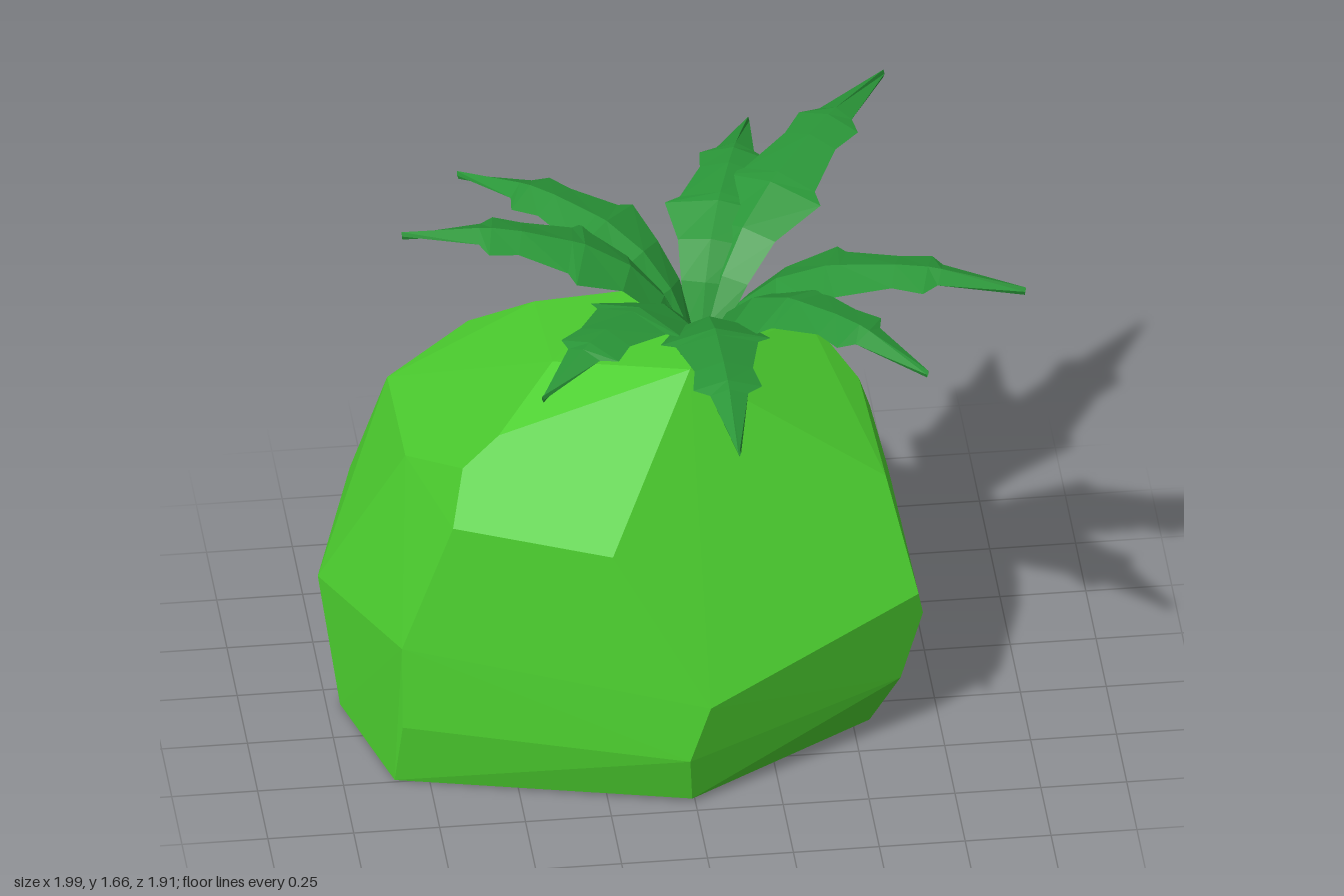
import * as THREE from 'three';
import { ConvexGeometry } from 'three/addons/geometries/ConvexGeometry.js';

const V = (x, y, z) => new THREE.Vector3(x, y, z);

// Corners of the faceted body, from the base upwards
const BODY = [
  [-0.85, 0, 0.24], [-0.01, 0.015, 0.46], [0.55, 0, 0.09], [0.3, 0, -0.95], [-0.53, 0, -0.76], [-0.96, 0, -0.17],
  [-0.83, 0.2, 0.27], [-0.02, 0.17, 0.5], [0.63, 0.2, 0.18], [0.32, 0.1, -0.955],
  [-1, 0.31, -0.38], [-0.87, 0.47, -0.69], [-0.83, 0.46, 0.25], [0.04, 0.35, 0.5], [0.695, 0.42, 0.18], [0.68, 0.5, 0.2],
  [0.65, 0.61, -0.3], [0.53, 0.6, -0.71], [0.61, 0.76, -0.4], [0.48, 0.87, -0.63],
  [-0.15, 0.77, -0.82], [-0.76, 0.77, -0.7], [-0.52, 0.92, -0.74], [-0.77, 0.85, -0.17], [-0.68, 0.86, 0.24],
  [-0.23, 0.81, 0.37], [0.6, 0.83, 0.07], [0.56, 0.96, -0.25],
  [-0.64, 1.0, 0.14], [-0.53, 1.08, 0.1], [-0.35, 1.1, -0.55], [-0.1, 1.17, -0.47], [0.42, 1.12, -0.36],
  [-0.35, 1.19, -0.1], [0.2, 1.23, -0.27], [0.03, 1.245, 0.07],
];

// Leaf stations: fraction of length, height, half width
const LEAF = [
  [0.02, 1.19, 0.035], [0.06, 1.30, 0.05], [0.13, 1.41, 0.075], [0.24, 1.50, 0.1], [0.39, 1.555, 0.16],
  [0.43, 1.56, 0.12], [0.6, 1.575, 0.085], [0.7, 1.575, 0.1], [0.74, 1.57, 0.055], [1, 1.525, 0.004],
];

// Leaf tips: x, z, extra lift towards the tip
const TIPS = [
  [0.7, -0.83, 0.1], [0.3, -0.78, 0], [-0.57, -0.57, 0.02], [-0.78, -0.17, 0.09],
  [-0.46, 0.59, 0], [0.07, 0.95, 0.01], [0.66, 0.59, 0], [0.99, 0.21, 0.01],
];
const CROWN = V(0.07, 0, -0.03);

// Leaf swept along an arching path with a ridged, four-sided section
function leafGeometry([tx, tz, lift]) {
  const dir = V(tx - CROWN.x, 0, tz - CROWN.z);
  const length = dir.length();
  dir.normalize();
  const side = V(0, 1, 0).cross(dir);
  const path = LEAF.map(([t, y]) => CROWN.clone().addScaledVector(dir, t * length).setY(y + lift * t));
  const rings = path.map((p, i) => {
    const w = LEAF[i][2];
    const tangent = path[Math.min(i + 1, path.length - 1)].clone().sub(path[Math.max(i - 1, 0)]).normalize();
    const up = tangent.cross(side);
    const at = (s, u) => p.clone().addScaledVector(side, s).addScaledVector(up, u);
    return [at(w, -0.18 * w), at(0, 0.012), at(-w, -0.18 * w), at(0, -0.014)];
  });
  const points = [];
  for (let i = 0; i < rings.length - 1; i++) {
    for (let k = 0; k < 4; k++) {
      const n = (k + 1) % 4;
      const [a, b, c, d] = [rings[i][k], rings[i][n], rings[i + 1][n], rings[i + 1][k]];
      points.push(a, b, c, a, c, d);
    }
  }
  const geometry = new THREE.BufferGeometry().setFromPoints(points);
  geometry.computeVertexNormals();
  return geometry;
}

export function createModel() {
  const model = new THREE.Group();
  model.name = 'leafyRock';

  // Faceted body
  const bodyMaterial = new THREE.MeshStandardMaterial({ color: 0x4ccf2f, flatShading: true });
  const body = new THREE.Mesh(new ConvexGeometry(BODY.map((p) => V(...p))), bodyMaterial);
  body.name = 'body';
  model.add(body);

  // Crown of leaves
  const leafMaterial = new THREE.MeshStandardMaterial({ color: 0x2a9638, flatShading: true, side: THREE.DoubleSide });
  const crown = new THREE.Group();
  crown.name = 'leafCrown';
  TIPS.forEach((tip, i) => {
    const leaf = new THREE.Mesh(leafGeometry(tip), leafMaterial);
    leaf.name = `leaf${i + 1}`;
    crown.add(leaf);
  });
  model.add(crown);
  return model;
}
